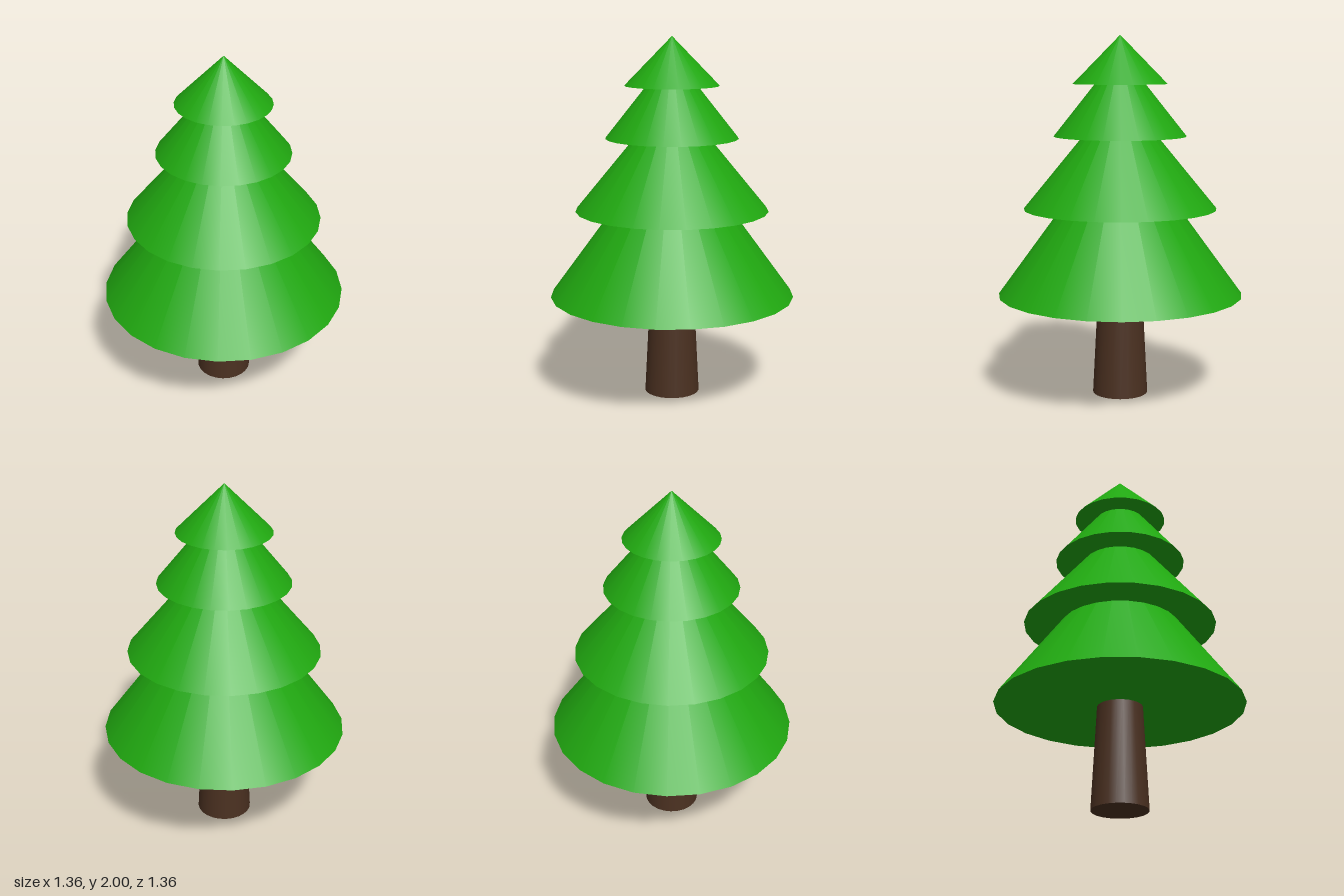
import * as THREE from 'three';

const SEGMENTS = 24;

export function createModel() {
  const tree = new THREE.Group();
  tree.name = 'pineTree';
  const bark = new THREE.MeshStandardMaterial({ color: 0x4a3020 });
  const needles = new THREE.MeshStandardMaterial({ color: 0x20a810 });

  // Tapered solid standing on the height "bottom"
  function addTaper(name, topRadius, baseRadius, bottom, top, material) {
    const height = top - bottom;
    const geometry = new THREE.CylinderGeometry(topRadius, baseRadius, height, SEGMENTS);
    const mesh = new THREE.Mesh(geometry, material);
    mesh.name = name;
    mesh.position.y = bottom + height / 2;
    tree.add(mesh);
  }

  // Trunk, its top just inside the lowest tier
  addTaper('trunk', 0.124, 0.154, 0, 0.58, bark);

  // Foliage tiers from bottom to top: base radius, base height, tip height
  const tiers = [
    [0.68, 0.57, 1.5],
    [0.535, 1.05, 1.7],
    [0.366, 1.45, 1.91],
    [0.26, 1.735, 2],
  ];
  tiers.forEach(([radius, bottom, tip], i) => {
    addTaper(`foliageTier${i + 1}`, 0, radius, bottom, tip, needles);
  });

  return tree;
}
